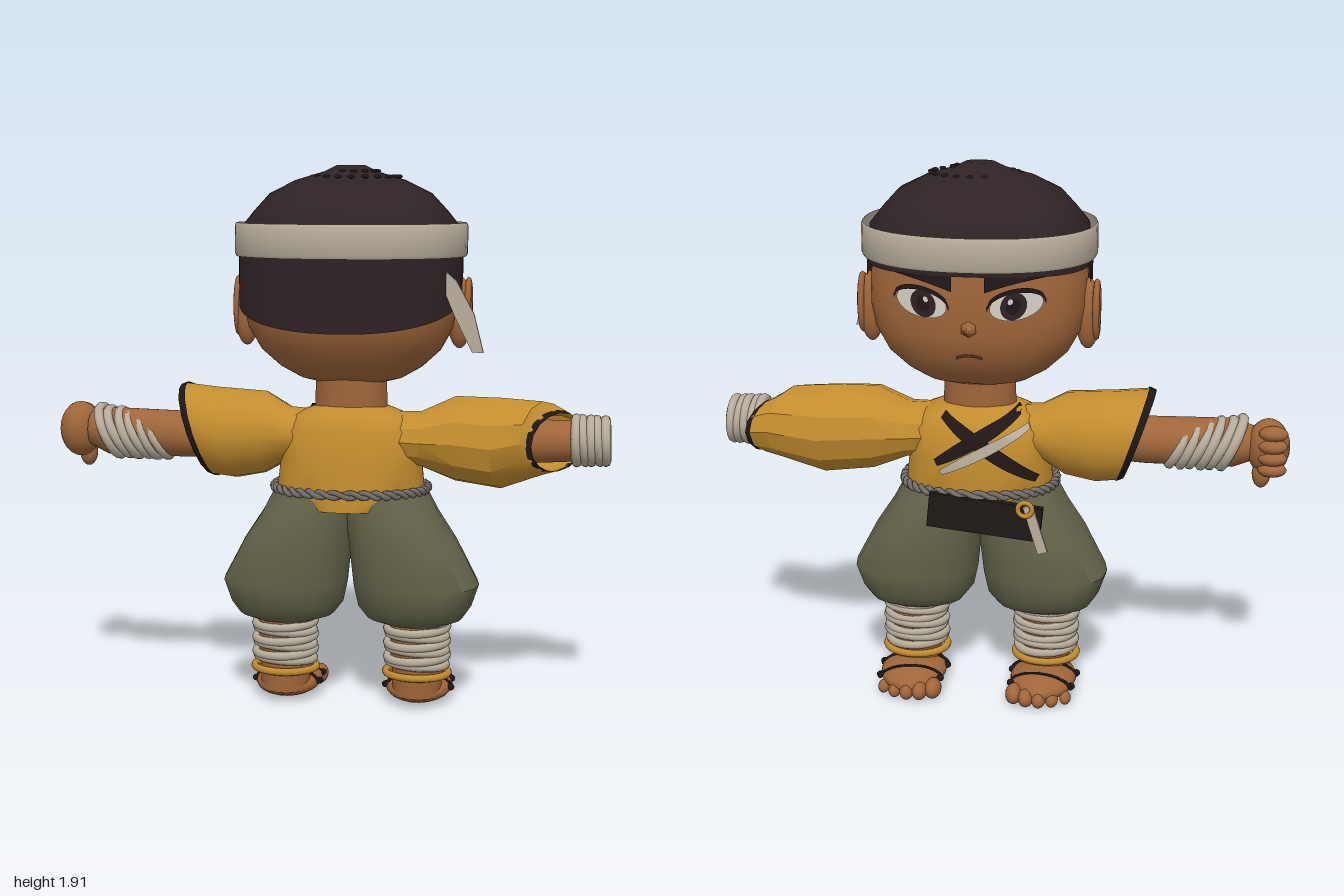
import * as THREE from 'three';
import { toCreasedNormals } from 'three/addons/utils/BufferGeometryUtils.js';

const mat = (name, color) => {
  const m = new THREE.MeshStandardMaterial({ color, side: THREE.DoubleSide });
  m.name = name;
  return m;
};
const CX = 0.09; // body midline

// Point on a rounded-square outline
const outline = (a, rx, rz, p) => {
  const f = v => Math.sign(v) * Math.abs(v) ** (2 / p);
  return [rx * f(Math.cos(a)), rz * f(Math.sin(a))];
};

// Skin a surface through rings. y rows: [y, cx, cz, rx, rz]; x rows: [x, cy, cz, ry, rz, leanY, leanZ]
function loft(rows, { axis = 'y', sides = 24, p = 2, cap = true, crease = 0.7 } = {}) {
  const pos = [], idx = [], n = sides, last = rows.length - 1;
  for (const [t, c0, c1, r0, r1, ly = 0, lz = 0] of rows) {
    for (let j = 0; j < n; j++) {
      const a = j / n * Math.PI * 2;
      if (axis === 'y') {
        const [x, z] = outline(a, r0, r1, p);
        pos.push(c0 + x, t, c1 + z);
      } else {
        const [z, y] = outline(a, r1, r0, p);
        pos.push(t + ly * Math.sin(a) + lz * Math.cos(a), c0 + y, c1 + z);
      }
    }
  }
  for (let i = 0; i < last; i++) for (let j = 0; j < n; j++) {
    const a = i * n + j, b = i * n + (j + 1) % n;
    idx.push(a, a + n, b, b, a + n, b + n);
  }
  if (cap) for (const i of [0, last]) {
    const [t, c0, c1] = rows[i], c = pos.length / 3;
    pos.push(...(axis === 'y' ? [c0, t, c1] : [t, c0, c1]));
    for (let j = 0; j < n; j++) {
      const a = i * n + j, b = i * n + (j + 1) % n;
      idx.push(...(i ? [c, b, a] : [c, a, b]));
    }
  }
  const g = new THREE.BufferGeometry();
  g.setAttribute('position', new THREE.Float32BufferAttribute(pos, 3));
  g.setIndex(idx);
  return toCreasedNormals(g, crease);
}

// Face-side (-z) depth of a lofted form at x, y
function frontZ(rows, p, x, y) {
  let i = 0;
  while (i < rows.length - 2 && rows[i + 1][0] < y) i++;
  const k = THREE.MathUtils.clamp((y - rows[i][0]) / (rows[i + 1][0] - rows[i][0]), 0, 1);
  const [, cx, cz, rx, rz] = rows[i].map((v, q) => v + (rows[i + 1][q] - v) * k);
  return cz - rz * Math.max(0, 1 - Math.abs((x - cx) / rx) ** p) ** (1 / p);
}

// Lay a flat geometry onto the front of a form; fn maps local u, v to x, y
function decal(geo, rows, p, lift, fn) {
  const a = geo.attributes.position;
  for (let i = 0; i < a.count; i++) {
    const [x, y] = fn(a.getX(i), a.getY(i));
    a.setXYZ(i, x, y, frontZ(rows, p, x, y) - lift);
  }
  geo.computeVertexNormals();
  return geo;
}

export function createModel() {
  const root = new THREE.Group();
  const skin = mat('skin', 0xa0663a), gold = mat('goldCloth', 0xc38d2e), hair = mat('hair', 0x2e2224);
  const cloth = mat('paleCloth', 0xb9ae9d), olive = mat('oliveCloth', 0x65654b), rope = mat('rope', 0x77716b);
  const white = mat('eyeWhite', 0xd6d2c8), dark = mat('darkTrim', 0x1f1716), lip = mat('lip', 0x5c3420);
  const add = (name, geo, m, x = 0, y = 0, z = 0) => {
    const o = new THREE.Mesh(geo, m);
    o.name = name;
    o.position.set(x, y, z);
    root.add(o);
    return o;
  };
  const ball = (name, m, x, y, z, rx, ry, rz) => {
    const o = add(name, new THREE.SphereGeometry(1, 18, 12), m, x, y, z);
    o.scale.set(rx, ry, rz);
    return o;
  };

  // Head and neck
  const headRows = [[1.16, 0.1, 0.05, -0.1], [1.18, 0.18, 0.1, -0.15], [1.22, 0.25, 0.15, -0.19], [1.28, 0.315, 0.205, -0.235],
    [1.36, 0.36, 0.24, -0.255], [1.44, 0.375, 0.255, -0.26], [1.54, 0.375, 0.26, -0.262], [1.7, 0.34, 0.24, -0.245]]
    .map(([y, rx, b, f]) => [y, CX, (b + f) / 2, rx, (b - f) / 2]);
  const HP = 2.5;
  add('head', loft(headRows, { sides: 48, p: HP, crease: 1.2 }), skin);
  add('neck', loft([[1.03, CX, -0.01, 0.13, 0.11], [1.22, CX, -0.01, 0.125, 0.11]]), skin);

  // Hair crown with a whorl of small knots
  add('hairCrown', loft([[1.58, CX, 0.005, 0.383, 0.275], [1.71, CX, 0.005, 0.375, 0.28], [1.76, CX, 0.005, 0.335, 0.245],
    [1.82, CX, 0.01, 0.28, 0.195], [1.865, CX, 0.015, 0.19, 0.125], [1.895, CX, 0.015, 0.09, 0.06],
    [1.915, CX, 0.015, 0.05, 0.035]], { sides: 40, p: 2.5 }), hair);
  for (const [n, r, y] of [[12, 0.075, 1.898], [20, 0.15, 1.88]]) for (let i = 0; i < n; i++) {
    const a = i / n * Math.PI * 2;
    ball('hairKnot', dark, CX + 0.02 + r * Math.cos(a), y - 0.003, 0.025 + r * 0.7 * Math.sin(a), 0.012, 0.007, 0.008);
  }

  // Hair shell round the back, with a curved hem turned in to the head
  const shell = new THREE.PlaneGeometry(1, 1, 40, 5), sp = shell.attributes.position;
  for (let i = 0; i < sp.count; i++) {
    const u = sp.getX(i) * 2, v = 0.5 - sp.getY(i), a = Math.PI / 2 - u * 1.68;
    const hem = 1.355 + 0.12 * Math.abs(u) ** 1.7, inner = v > 0.9;
    const [x, z] = outline(a, inner ? 0.355 : 0.388, inner ? 0.235 : 0.295, 2.5);
    sp.setXYZ(i, CX + x, 1.62 + (hem - 1.62) * Math.min(1, v / 0.8), z);
  }
  add('hairBack', toCreasedNormals(shell, 0.7), hair);

  // Headband and its loose tail
  add('headband', loft([1.605, 1.615, 1.71, 1.72].map((y, i) => [y, CX, 0, i % 3 ? 0.405 : 0.4, i % 3 ? 0.325 : 0.32]),
    { sides: 56, p: 2.2, cap: false }), cloth);
  const tail = new THREE.Shape([[0.44, 1.56], [0.475, 1.53], [0.535, 1.42], [0.568, 1.29], [0.53, 1.29], [0.47, 1.41], [0.44, 1.48]]
    .map(q => new THREE.Vector2(...q)));
  add('headbandTail', new THREE.ExtrudeGeometry(tail, { depth: 0.014, bevelEnabled: false }), cloth, 0, 0, 0.155);

  // Face: ears, eyes, brows, nose, mouth
  const face = (name, geo, m, lift, fn) => add(name, decal(geo, headRows, HP, lift, fn), m);
  const disc = () => new THREE.RingGeometry(0.001, 1, 28, 5);
  const strip = () => new THREE.PlaneGeometry(2, 1, 18, 2);
  for (const s of [-1, 1]) {
    ball('ear', skin, CX + s * 0.378, 1.41, -0.025, 0.045, 0.125, 0.05);
    const rim = add('earRim', new THREE.TorusGeometry(0.04, 0.012, 8, 20), skin, CX + s * 0.408, 1.425, -0.03);
    rim.rotation.y = Math.PI / 2;
    rim.scale.y = 2.1;
    const ex = CX + s * 0.16, ey = 1.485;
    const at = (x, y) => [ex + s * x, ey + y + 0.15 * x];
    face('eyeWhite', disc(), white, 0.005, (u, v) => at(u * 0.088, v * 0.05));
    face('iris', disc(), hair, 0.008, (u, v) => at(u * 0.044 - 0.008, v * 0.047));
    face('pupil', disc(), dark, 0.0105, (u, v) => at(u * 0.024 - 0.008, v * 0.028));
    face('eyeGlint', disc(), white, 0.013, (u, v) => at(u * 0.009 - 0.018, v * 0.01 + 0.018));
    face('upperLid', strip(), dark, 0.012, (u, v) => at(u * 0.097, 0.052 * Math.sqrt(Math.max(0, 1 - u * u)) + v * 0.016));
    face('brow', strip(), dark, 0.008, (u, v) =>
      [CX + s * (0.155 + u * 0.1), 1.577 + u * 0.018 - u * u * 0.006 + v * (0.036 - 0.014 * u)]);
  }
  const nose = add('nose', new THREE.ConeGeometry(0.032, 0.07, 6), skin, CX, 1.4, -0.285);
  nose.rotation.x = -Math.PI / 2;
  face('mouth', strip(), lip, 0.005, (u, v) => [CX + u * 0.045, 1.305 - 0.01 * u * u + v * 0.012]);

  // Tunic body with crossed collar bands
  const torsoRows = [[0.725, CX, -0.005, 0.17, 0.185], [0.78, CX, -0.01, 0.262, 0.185], [0.9, CX, -0.015, 0.25, 0.18],
    [1.0, CX, -0.015, 0.25, 0.165], [1.05, CX, -0.01, 0.2, 0.14], [1.085, CX, -0.01, 0.11, 0.11]];
  add('tunic', loft(torsoRows, { p: 2.4, sides: 28 }), gold);
  const band = (name, m, [x0, y0], [x1, y1], w, lift) => add(name, decal(strip(), torsoRows, 2.4, lift, (u, v) => {
    const k = (u + 1) / 2, l = Math.hypot(x1 - x0, y1 - y0), h = w * v * (1 - 0.5 * u * u);
    return [x0 + (x1 - x0) * k - (y1 - y0) / l * h, y0 + (y1 - y0) * k + (x1 - x0) / l * h];
  }), m);
  band('collarDark', dark, [0.2, 1.06], [-0.13, 0.84], 0.05, 0.012);
  band('collarDark', dark, [-0.06, 1.07], [0.22, 0.9], 0.05, 0.016);
  band('collarPale', cloth, [-0.1, 1.03], [0.2, 0.87], 0.038, 0.024);

  // Twisted rope belt, pouch, ring and tassel
  for (const ph of [0, Math.PI]) {
    const pts = [];
    for (let i = 0; i < 160; i++) {
      const a = i / 160 * Math.PI * 2, w = a * 20 + ph;
      const [x, z] = outline(a, 0.272 + 0.007 * Math.cos(w), 0.197 + 0.007 * Math.cos(w), 2.3);
      pts.push(new THREE.Vector3(CX + x, 0.79 + 0.009 * Math.sin(w), z - 0.008));
    }
    add('ropeBelt', new THREE.TubeGeometry(new THREE.CatmullRomCurve3(pts, true), 320, 0.01, 5, true), rope);
  }
  add('pouch', new THREE.BoxGeometry(0.4, 0.125, 0.025), dark, 0.045, 0.715, -0.208).rotation.z = 0.1;
  add('beltRing', new THREE.TorusGeometry(0.025, 0.009, 8, 18), gold, -0.1, 0.76, -0.24);
  add('tassel', new THREE.BoxGeometry(0.035, 0.18, 0.012), cloth, -0.135, 0.685, -0.232).rotation.z = -0.3;

  // Trousers, leg wraps, anklets and feet
  const legRows = [[0.305, 0.235, 0.11, 0.1], [0.325, 0.232, 0.17, 0.135], [0.37, 0.23, 0.203, 0.165], [0.45, 0.235, 0.225, 0.187],
    [0.6, 0.188, 0.193, 0.193], [0.7, 0.15, 0.165, 0.185], [0.78, 0.128, 0.145, 0.165]];
  for (const s of [-1, 1]) {
    add('trouserLeg', loft(legRows.map(([y, d, rx, rz]) => [y, CX + s * d, -0.005, rx, rz]), { sides: 18, p: 2.3 }), olive);
    const fx = CX + s * 0.24;
    const ring = (name, m, y, r, t, tilt) => {
      const o = add(name, new THREE.TorusGeometry(r, t, 8, 28), m, fx, y, -0.01);
      o.rotation.set(Math.PI / 2 + tilt, tilt, 0);
      o.scale.y = 0.88;
    };
    add('ankle', new THREE.CylinderGeometry(0.098, 0.088, 0.29, 20), skin, fx, 0.185, -0.01);
    for (let i = 0; i < 7; i++) ring('legWrap', cloth, 0.155 + i * 0.026, 0.103 + 0.004 * (i % 2), 0.016, 0.05 * (i % 2 ? 1 : -1));
    ring('anklet', gold, 0.12, 0.112, 0.014, 0);
    ball('foot', skin, fx, 0.05, -0.085, 0.12, 0.05, 0.165);
    for (let i = 0; i < 5; i++) {
      const u = i - 2, r = 0.036 - i * 0.003;
      ball('toe', skin, fx + s * u * 0.046, r, -0.238 + 0.008 * u * u + i * 0.004, r * 0.85, r, r * 1.3);
    }
    // Foot straps with small knots
    for (const [z, r, h] of [[-0.05, 0.118, 0.052], [-0.16, 0.11, 0.048]]) {
      const o = add('footStrap', new THREE.TorusGeometry(1, 0.07, 6, 20, Math.PI), dark, fx, 0.05, z);
      o.scale.set(r, h, 0.1);
      o.rotation.y = s * 0.15;
      for (const k of [-1, 1]) ball('strapKnot', dark, fx + k * r, 0.055, z, 0.014, 0.012, 0.016);
    }
  }

  // Right sleeve, forearm and wraps
  const X = { axis: 'x', cap: false, sides: 16 };
  add('rightSleeve', loft([[-0.455, 0.98, -0.02, 0.165, 0.155, -0.055], [-0.36, 0.97, -0.02, 0.163, 0.162, -0.035],
    [-0.22, 0.975, -0.02, 0.147, 0.15], [-0.13, 0.975, -0.01, 0.095, 0.12], [0, 0.97, -0.01, 0.09, 0.12]], X), gold);
  add('rightCuff', loft([[-0.475, 0.98, -0.02, 0.16, 0.15, -0.055], [-0.45, 0.98, -0.02, 0.17, 0.16, -0.055]], X), dark);
  add('rightForearm', loft([[-0.87, 0.97, -0.03, 0.06, 0.06], [-0.8, 0.965, -0.02, 0.085, 0.09], [-0.5, 0.96, -0.015, 0.083, 0.085],
    [-0.2, 0.97, -0.01, 0.08, 0.08]], { axis: 'x' }), skin);
  const armWrap = (x, y, z, r, lean) => {
    const o = add('armWrap', new THREE.TorusGeometry(r, 0.018, 8, 26), cloth, x, y, z);
    o.rotation.set(0, Math.PI / 2, lean, 'ZYX');
  };
  for (let i = 0; i < 6; i++) armWrap(-0.795 + i * 0.036, 0.965 - i * 0.003, -0.02, 0.093 - i * 0.003, 0.42 + 0.06 * (i % 2));

  // Fist
  ball('palm', skin, -0.92, 0.965, -0.05, 0.075, 0.1, 0.08);
  for (let i = 0; i < 4; i++) ball('finger', skin, -0.935, 1.03 - i * 0.043, -0.105 - (i % 3 ? 0.008 : 0), 0.05, 0.026, 0.036);
  ball('thumb', skin, -0.9, 0.875, -0.075, 0.032, 0.05, 0.035);

  // Left sleeve, cut back on one side, with forearm and wraps
  add('leftSleeve', loft([[0.18, 0.97, -0.01, 0.09, 0.12], [0.34, 0.965, -0.015, 0.098, 0.13], [0.46, 0.968, -0.02, 0.15, 0.16],
    [0.62, 0.955, -0.02, 0.16, 0.163, 0, -0.03], [0.76, 0.975, -0.025, 0.13, 0.15, 0, -0.07],
    [0.81, 0.965, -0.025, 0.105, 0.13, 0, -0.09]], { ...X, sides: 12, crease: 0.5 }), gold);
  add('leftCuff', loft([[0.8, 0.967, -0.025, 0.109, 0.136, 0, -0.09], [0.82, 0.963, -0.025, 0.102, 0.126, 0, -0.09]], X), dark);
  add('leftForearm', loft([[0.3, 0.97, -0.01, 0.08, 0.08], [0.7, 0.965, -0.02, 0.078, 0.08], [0.965, 0.972, -0.02, 0.068, 0.07]],
    { axis: 'x' }), skin);
  add('leftWristWrap', loft([[0.87, 0.972, -0.02, 0.078, 0.082], [0.99, 0.975, -0.02, 0.072, 0.078]], X), cloth);
  for (let i = 0; i < 5; i++) armWrap(0.88 + i * 0.025, 0.972, -0.02, 0.076 - 0.001 * i, i % 2 ? 0.1 : 0.03);

  return root;
}
